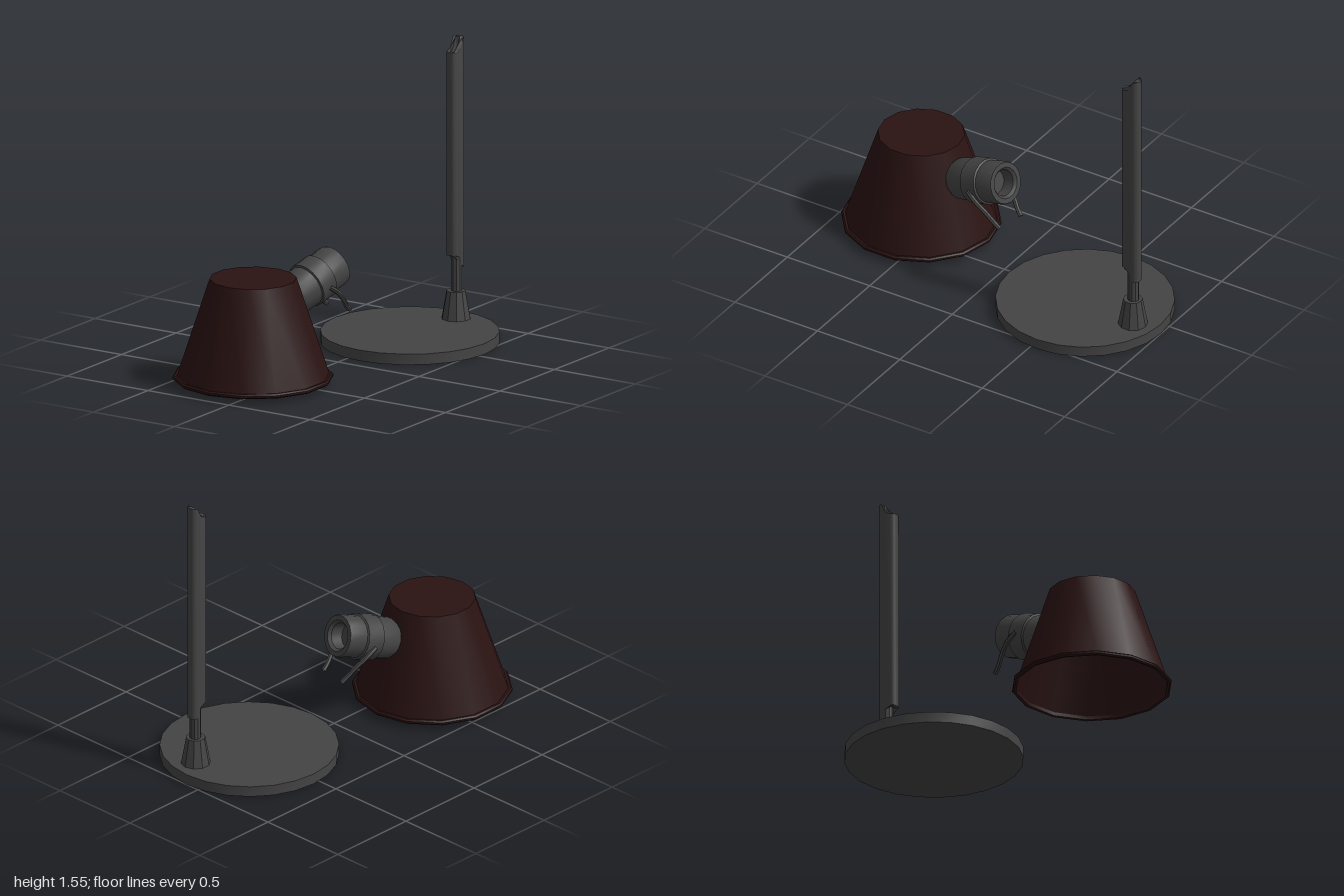
import * as THREE from 'three';
import { toCreasedNormals } from 'three/addons/utils/BufferGeometryUtils.js';

const grey = new THREE.MeshStandardMaterial({ color: 0x444444, side: THREE.DoubleSide });
const red = new THREE.MeshStandardMaterial({ color: 0x2a1212, side: THREE.DoubleSide });

function part(name, geometry, material, x = 0, y = 0, z = 0) {
  const mesh = new THREE.Mesh(toCreasedNormals(geometry, 0.6), material);
  mesh.name = name;
  mesh.position.set(x, y, z);
  return mesh;
}

function lathe(points, sides) {
  return new THREE.LatheGeometry(points.map(p => new THREE.Vector2(...p)), sides);
}

// Rounded oval outline of half width w and half depth d
function oval(w, d, Type) {
  const points = [];
  const bulge = v => Math.sign(v) * Math.abs(v) ** 0.6;
  for (let i = 0; i < 24; i++) {
    const a = (i / 24) * Math.PI * 2;
    points.push(new THREE.Vector2(w * bulge(Math.cos(a)), d * bulge(Math.sin(a))));
  }
  return new Type(points);
}

// Hollow oval post whose rear half is longer at both ends
function postGeometry() {
  const shape = oval(0.032, 0.05, THREE.Shape);
  shape.holes.push(oval(0.014, 0.03, THREE.Path));
  const geo = new THREE.ExtrudeGeometry(shape, { depth: 1, bevelEnabled: false });
  geo.rotateX(-Math.PI / 2);
  const p = geo.attributes.position;
  for (let i = 0; i < p.count; i++) {
    const rear = THREE.MathUtils.smoothstep(-p.getZ(i), -0.012, 0.03);
    p.setY(i, p.getY(i) > 0.5 ? 1.48 + 0.07 * rear : 0.4 - 0.075 * rear);
  }
  return geo;
}

// Flat curved clip arm on one side of the socket
function clipArm(side) {
  const path = new THREE.CatmullRomCurve3([
    [0.118, -0.17, -0.01], [0.122, -0.13, -0.06], [0.105, -0.09, -0.13],
    [0.088, -0.065, -0.19], [0.08, -0.045, -0.225],
  ].map(([x, y, z]) => new THREE.Vector3(x * side, y, z)));
  const geo = new THREE.TubeGeometry(path, 14, 0.013, 6);
  return part(side > 0 ? 'leftClipArm' : 'rightClipArm', geo, grey);
}

export function createModel() {
  const model = new THREE.Group();
  model.name = 'deskLamp';

  // Round foot with the post standing near its rear edge
  const stand = new THREE.Group();
  stand.name = 'stand';
  stand.add(
    part('baseDisc', new THREE.CylinderGeometry(0.46, 0.46, 0.057, 24), grey, 0.08, 0.0285, -0.54),
    part('postCollar', new THREE.CylinderGeometry(0.05, 0.077, 0.15, 10), grey, 0.143, 0.13, -0.87),
    part('postPin', new THREE.CylinderGeometry(0.03, 0.03, 0.24, 10), grey, 0.143, 0.3, -0.873),
    part('post', postGeometry(), grey, 0.143, 0, -0.862),
  );
  model.add(stand);

  // Shade: open below, closed on top, with a rolled rim
  const shade = new THREE.Group();
  shade.name = 'shade';
  shade.position.set(-0.13, 0, 0.587);
  shade.add(
    part('shadeShell', lathe([[0.395, 0.04], [0.224, 0.56], [0, 0.56]], 14), red),
    part('shadeRim', lathe([
      [0.392, 0.03], [0.405, 0.027], [0.413, 0.034], [0.413, 0.044],
      [0.405, 0.052], [0.392, 0.05], [0.392, 0.03],
    ], 14), red),
  );
  model.add(shade);

  // Tilted bulb socket: local y points outward, x to the side
  const socket = new THREE.Group();
  socket.name = 'socket';
  const axis = new THREE.Vector3(0.06, 0.115, -0.325).normalize();
  const side = axis.clone().cross(new THREE.Vector3(0, 1, 0)).normalize();
  const up = side.clone().cross(axis);
  socket.quaternion.setFromRotationMatrix(new THREE.Matrix4().makeBasis(side, axis, up));
  socket.position.set(-0.02, 0.515, 0.005);
  socket.add(part('socketBody', lathe([
    [0, -0.365], [0.06, -0.36], [0.095, -0.345], [0.108, -0.32], [0.112, -0.22],
    [0.121, -0.215], [0.121, -0.115], [0.111, -0.11], [0.113, -0.012], [0.108, 0],
    [0.082, 0], [0.068, -0.015], [0.064, -0.08], [0, -0.08],
  ], 18), grey));
  for (const s of [1, -1]) socket.add(clipArm(s));
  model.add(socket);

  return model;
}
